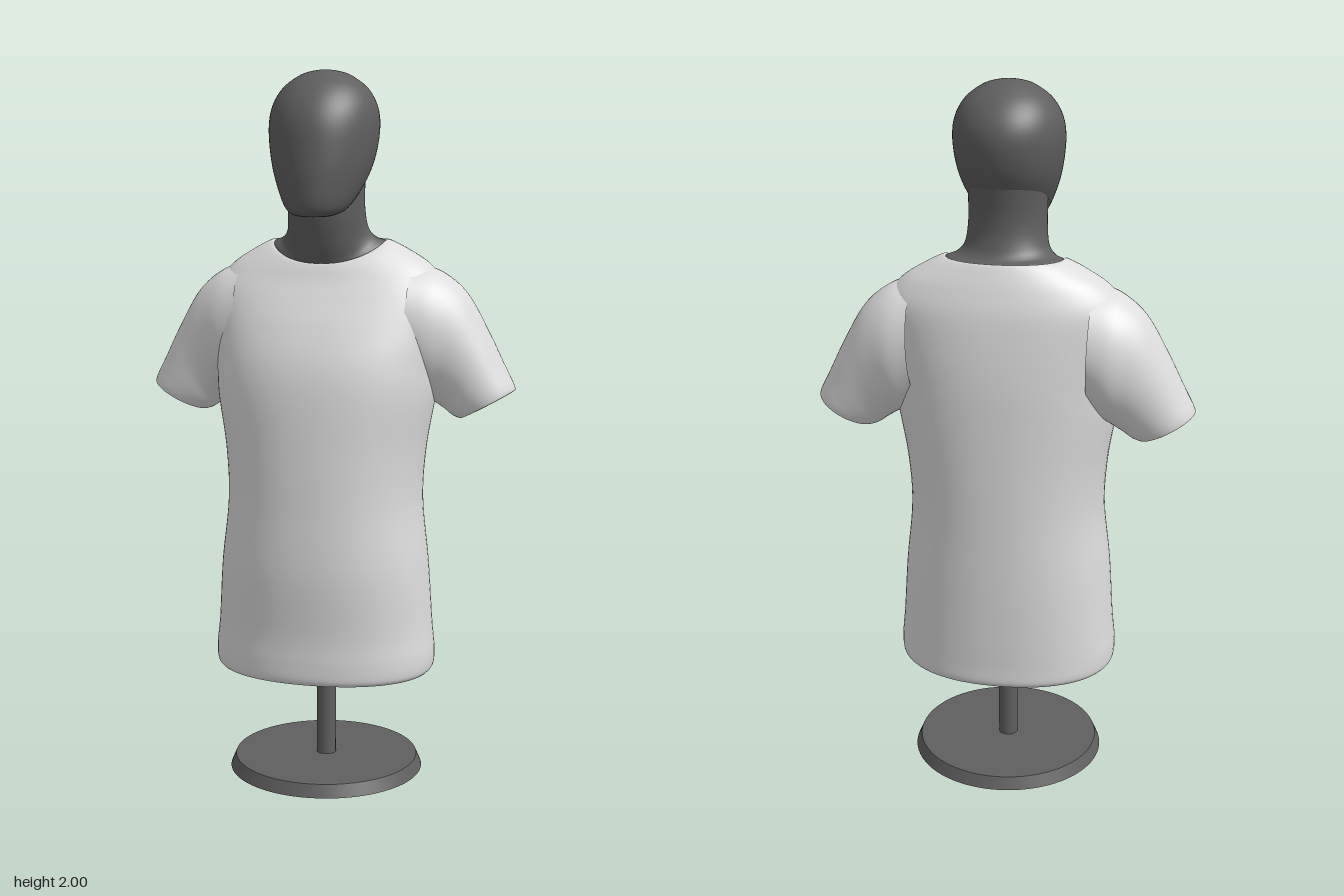
import * as THREE from 'three';

const shirtMat = new THREE.MeshStandardMaterial({ color: 0xdcdcdc, side: THREE.DoubleSide });
shirtMat.name = 'white cloth';
const darkMat = new THREE.MeshStandardMaterial({ color: 0x605f5f });
darkMat.name = 'dark grey';

// Smoothly interpolated table row at u (0..1)
function rowAt(rows, u) {
  const last = rows.length - 1;
  const k = Math.min(Math.floor(u * last), last - 1);
  const t = u * last - k;
  const get = i => rows[Math.max(0, Math.min(last, i))];
  return rows[k].map((p1, c) => {
    const p0 = get(k - 1)[c], p2 = get(k + 1)[c], p3 = get(k + 2)[c];
    const m1 = (p2 - p0) / 2, m2 = (p3 - p1) / 2;
    return p1 + m1 * t + (3 * (p2 - p1) - 2 * m1 - m2) * t * t + (2 * (p1 - p2) + m1 + m2) * t ** 3;
  });
}

// Closed rings swept through the rows; point(row, angle) gives each vertex
function loft(rows, point, around = 64, steps = 6) {
  const n = (rows.length - 1) * steps;
  const pos = [], index = [];
  for (let i = 0; i <= n; i++) {
    const row = rowAt(rows, i / n);
    for (let j = 0; j < around; j++) {
      pos.push(...point(row, (j / around) * Math.PI * 2));
      if (i === n) continue;
      const k = (j + 1) % around;
      const a = i * around + j, b = a + around, c = i * around + k, d = c + around;
      index.push(a, b, c, b, d, c);
    }
  }
  const geo = new THREE.BufferGeometry();
  geo.setAttribute('position', new THREE.Float32BufferAttribute(pos, 3));
  geo.setIndex(index);
  geo.computeVertexNormals();
  return geo;
}

// Row: height, half width, front z, back z, how far the front dips
const level = power => ([y, w, zf, zb, dip], a) => {
  const c = Math.cos(a), s = Math.sin(a);
  const bend = v => Math.sign(v) * Math.abs(v) ** power;
  return [w * bend(c), y - dip * Math.max(0, s) ** 1.4, (zf + zb) / 2 + ((zf - zb) / 2) * bend(s)];
};

// Row: upper x, y, lower x, y, front z, back z
const sleeveRing = side => ([tx, ty, bx, by, zf, zb], a) => {
  const s = (1 + side * Math.sin(a)) / 2;
  return [side * (bx + (tx - bx) * s), by + (ty - by) * s, (zf + zb) / 2 + ((zf - zb) / 2) * Math.cos(a)];
};

const torsoRows = [
  [0.31, 0.306, 0.238, -0.224, 0],
  [0.325, 0.316, 0.246, -0.232, 0],
  [0.37, 0.318, 0.247, -0.233, 0],
  [0.45, 0.31, 0.246, -0.236, 0],
  [0.62, 0.298, 0.255, -0.24, 0],
  [0.8, 0.279, 0.248, -0.241, 0],
  [0.95, 0.287, 0.24, -0.241, 0],
  [1.1, 0.312, 0.228, -0.24, 0],
  [1.2, 0.32, 0.208, -0.238, 0],
  [1.3, 0.332, 0.168, -0.23, 0.005],
  [1.4, 0.335, 0.125, -0.216, 0.03],
  [1.465, 0.29, 0.095, -0.196, 0.045],
  [1.51, 0.222, 0.078, -0.177, 0.055],
  [1.535, 0.17, 0.068, -0.163, 0.065],
  [1.528, 0.162, 0.06, -0.155, 0.065],
];

const sleeveRows = [
  [0.25, 1.47, 0.24, 1.13, 0.1, -0.205],
  [0.32, 1.447, 0.28, 1.095, 0.088, -0.203],
  [0.39, 1.39, 0.312, 1.075, 0.065, -0.185],
  [0.45, 1.29, 0.335, 1.06, 0.05, -0.168],
  [0.5, 1.19, 0.355, 1.045, 0.042, -0.155],
  [0.528, 1.135, 0.372, 1.038, 0.036, -0.147],
  [0.53, 1.118, 0.385, 1.038, 0.03, -0.14],
  [0.512, 1.125, 0.4, 1.055, 0.02, -0.128],
  [0.46, 1.22, 0.36, 1.1, 0.02, -0.13],
];

const headRows = [
  [1.598, 0.002, 0.14, 0.13, 0],
  [1.602, 0.05, 0.18, 0.07, 0],
  [1.625, 0.086, 0.198, 0, 0],
  [1.69, 0.12, 0.206, -0.09, 0],
  [1.76, 0.142, 0.206, -0.143, 0],
  [1.84, 0.152, 0.198, -0.164, 0],
  [1.9, 0.145, 0.174, -0.154, 0],
  [1.95, 0.117, 0.132, -0.118, 0],
  [1.985, 0.07, 0.078, -0.066, 0],
  [1.997, 0.03, 0.038, -0.026, 0],
  [2.0, 0.001, 0.007, 0.005, 0],
];

const neckRows = [
  [1.5, 0.2, 0.062, -0.175, 0.06],
  [1.53, 0.165, 0.062, -0.157, 0.065],
  [1.542, 0.135, 0.068, -0.138, 0.06],
  [1.565, 0.116, 0.082, -0.124, 0.045],
  [1.61, 0.109, 0.1, -0.113, 0.02],
  [1.67, 0.108, 0.11, -0.114, 0],
  [1.76, 0.11, 0.11, -0.13, 0],
];

export function createModel() {
  const group = new THREE.Group();
  const add = (name, geo, mat, y = 0) => {
    const mesh = new THREE.Mesh(geo, mat);
    mesh.name = name;
    mesh.position.y = y;
    group.add(mesh);
  };

  // Stand
  add('base', new THREE.CylinderGeometry(0.265, 0.28, 0.035, 64), darkMat, 0.0175);
  add('pole', new THREE.CylinderGeometry(0.028, 0.028, 1.45, 24), darkMat, 0.755);

  // Mannequin
  add('neck', loft(neckRows, level(1)), darkMat);
  add('head', loft(headRows, level(1)), darkMat);

  // Shirt, open at hem, collar and cuffs
  add('shirtBody', loft(torsoRows, level(0.92), 80), shirtMat);
  add('leftSleeve', loft(sleeveRows, sleeveRing(1), 48), shirtMat);
  add('rightSleeve', loft(sleeveRows, sleeveRing(-1), 48), shirtMat);

  return group;
}
